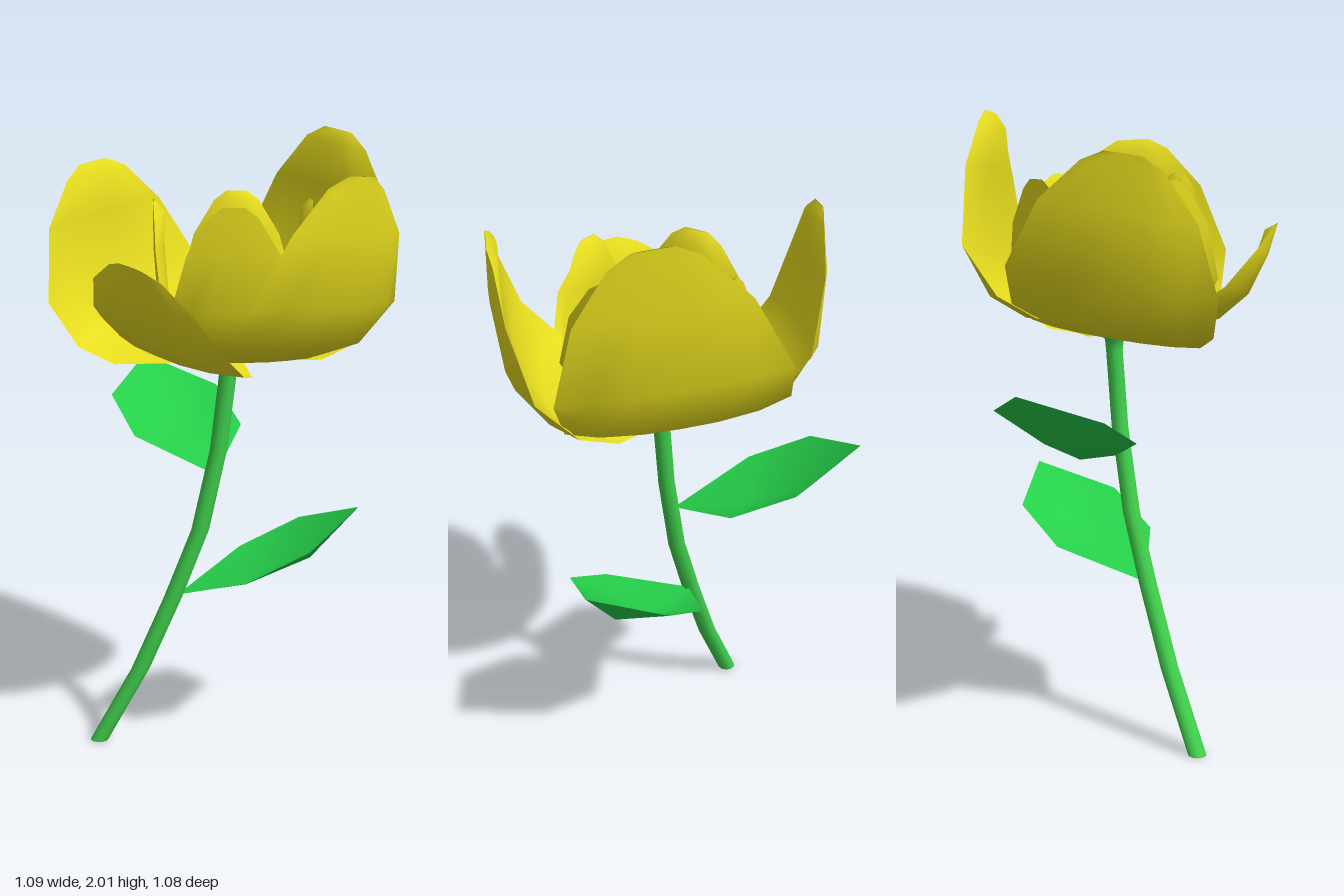
import * as THREE from 'three';
import { toCreasedNormals } from 'three/addons/utils/BufferGeometryUtils.js';

const yellow = new THREE.MeshStandardMaterial({ color: 0xe6dc1e, side: THREE.DoubleSide });
const leafGreen = new THREE.MeshStandardMaterial({ color: 0x26d04a, side: THREE.DoubleSide });
const stemGreen = new THREE.MeshStandardMaterial({ color: 0x40d04c, side: THREE.DoubleSide });

// Skin a list of cross-sections (arrays of [x, y, z]) into one surface
function loft(rings, closed, crease) {
  const n = rings[0].length, index = [];
  for (let r = 0; r < rings.length - 1; r++) {
    for (let i = 0; i < (closed ? n : n - 1); i++) {
      const a = r * n + i, b = r * n + (i + 1) % n;
      index.push(a, a + n, b, b, a + n, b + n);
    }
  }
  const geo = new THREE.BufferGeometry();
  geo.setAttribute('position', new THREE.Float32BufferAttribute(rings.flat(2), 3));
  geo.setIndex(index);
  return toCreasedNormals(geo, crease);
}

function addMesh(parent, name, geo, material) {
  const mesh = new THREE.Mesh(geo, material);
  mesh.name = name;
  parent.add(mesh);
  return mesh;
}

// Petal rows from base to tip: height fraction, half width, depth at centre, depth at edge
const PETAL_ROWS = [
  [0, 0.07, 0.0, -0.02],
  [0.05, 0.28, 0.29, 0.18],
  [0.14, 0.33, 0.42, 0.29],
  [0.36, 0.34, 0.50, 0.40],
  [0.72, 0.25, 0.53, 0.48],
  [0.94, 0.13, 0.53, 0.51],
  [1, 0.06, 0.53, 0.53],
];

// Cupped petal with a thin lens-shaped section, facing the direction (nx, nz);
// roll turns it sideways in its own plane, curl bends its upper sides inward
function petalGeometry({ dir, shift = 0, roll = 0, base = 1.3, height, width, depth, lean = 0, curl = 1 }) {
  const [nx, nz] = new THREE.Vector2(...dir).normalize().toArray();
  const across = [-1, -0.7, -0.35, 0, 0.35, 0.7, 1];
  const cos = Math.cos(roll), sin = Math.sin(roll);
  const rings = PETAL_ROWS.map(([f, w, mid, edge], row) => {
    const thick = row === PETAL_ROWS.length - 1 ? 0.004 : 0.035;
    const inset = (mid - edge) * (1 - (1 - curl) * Math.min(1, f / 0.36));
    const point = (s, inner) => {
      const bulge = 1 - Math.abs(s) ** 3;
      const u = s * w * width, v = f * height + inner * (1 - f) * 0.02 * bulge;
      const t = u * cos - v * sin + shift * Math.min(1, row);
      const n = (mid - inset * (1 - bulge)) * depth + lean * f - inner * thick * bulge;
      return [nx * n - nz * t, base + u * sin + v * cos, nz * n + nx * t];
    };
    return [
      ...across.map((s) => point(s, 0)),
      ...across.slice(1, -1).reverse().map((s) => point(s, 1)),
    ];
  });
  return loft(rings, true, 0.9);
}

// Folded leaf growing along +x from its base
function leafGeometry() {
  const rows = [ // midrib x, midrib y, edge x, edge y, half width
    [0, 0, 0, 0, 0.005],
    [0.22, 0.03, 0.21, 0.10, 0.195],
    [0.43, 0.12, 0.41, 0.20, 0.195],
    [0.585, 0.29, 0.585, 0.29, 0.002],
  ];
  const rings = rows.map(([mx, my, ex, ey, w]) => [[ex, ey, w], [mx, my, 0], [ex, ey, -w]]);
  return loft(rings, false, 0.9);
}

export function createModel() {
  const model = new THREE.Group();
  model.name = 'flower';

  // Curved stem, flaring into a small cup under the petals: x, y, radius
  const stemRows = [
    [-0.42, 0, 0], [-0.42, 0, 0.03], [-0.28, 0.25, 0.03], [-0.17, 0.5, 0.03],
    [-0.08, 0.73, 0.029], [-0.02, 1.0, 0.028], [0.01, 1.25, 0.028],
    [0.01, 1.285, 0.032], [0.01, 1.315, 0.075], [0.01, 1.315, 0],
  ];
  const stemRings = stemRows.map(([x, y, r]) => Array.from({ length: 10 }, (_, i) => {
    const a = (i / 10) * Math.PI * 2;
    return [x + Math.cos(a) * r, y, 0.03 + Math.sin(a) * r];
  }));
  addMesh(model, 'stem', loft(stemRings, true, 0.9), stemGreen);

  // Two leaves
  const lowerLeaf = addMesh(model, 'lowerLeaf', leafGeometry(), leafGreen);
  lowerLeaf.position.set(-0.15, 0.51, 0.03);
  const upperLeaf = addMesh(model, 'upperLeaf', leafGeometry(), leafGreen);
  upperLeaf.position.set(-0.03, 0.91, 0);
  upperLeaf.rotation.y = 1.97;

  // Round flower centre
  const centre = addMesh(model, 'flowerCentre', new THREE.SphereGeometry(0.115, 24, 16), yellow);
  centre.position.set(0.01, 1.45, 0.025);

  // Large outer petals on the diagonals
  const outer = {
    backLeftPetal: { dir: [0.78, -0.63], shift: -0.01, roll: -0.14, base: 1.315, height: 0.69, width: 1.03, depth: 0.85, lean: -0.04, curl: 0.35 },
    frontLeftPetal: { dir: [0.66, 0.75], shift: 0.02, roll: 0.07, height: 0.6, width: 0.93, depth: 1.03, curl: 0.75 },
    frontRightPetal: { dir: [-0.65, 0.76], shift: -0.01, roll: 0.2, base: 1.31, height: 0.345, width: 0.78, depth: 0.82, lean: 0.1 },
    backRightPetal: { dir: [-0.66, -0.75], shift: -0.05, roll: 0.14, height: 0.6, width: 0.95, depth: 0.9, curl: 0.7 },
  };
  // Small inner petals facing the four sides
  const small = { height: 0.5, width: 0.56, curl: 0.3 };
  const inner = {
    innerFrontPetal: { ...small, dir: [0, 1], shift: -0.015, depth: 0.56 },
    innerBackPetal: { ...small, dir: [0, -1], shift: 0.05, depth: 0.46 },
    innerLeftPetal: { ...small, dir: [1, 0], shift: 0.02, width: 0.67, depth: 0.51 },
    innerRightPetal: { ...small, dir: [-1, 0], shift: -0.05, width: 0.7, depth: 0.42 },
  };
  for (const [name, options] of Object.entries({ ...outer, ...inner })) {
    addMesh(model, name, petalGeometry(options), yellow);
  }
  return model;
}
